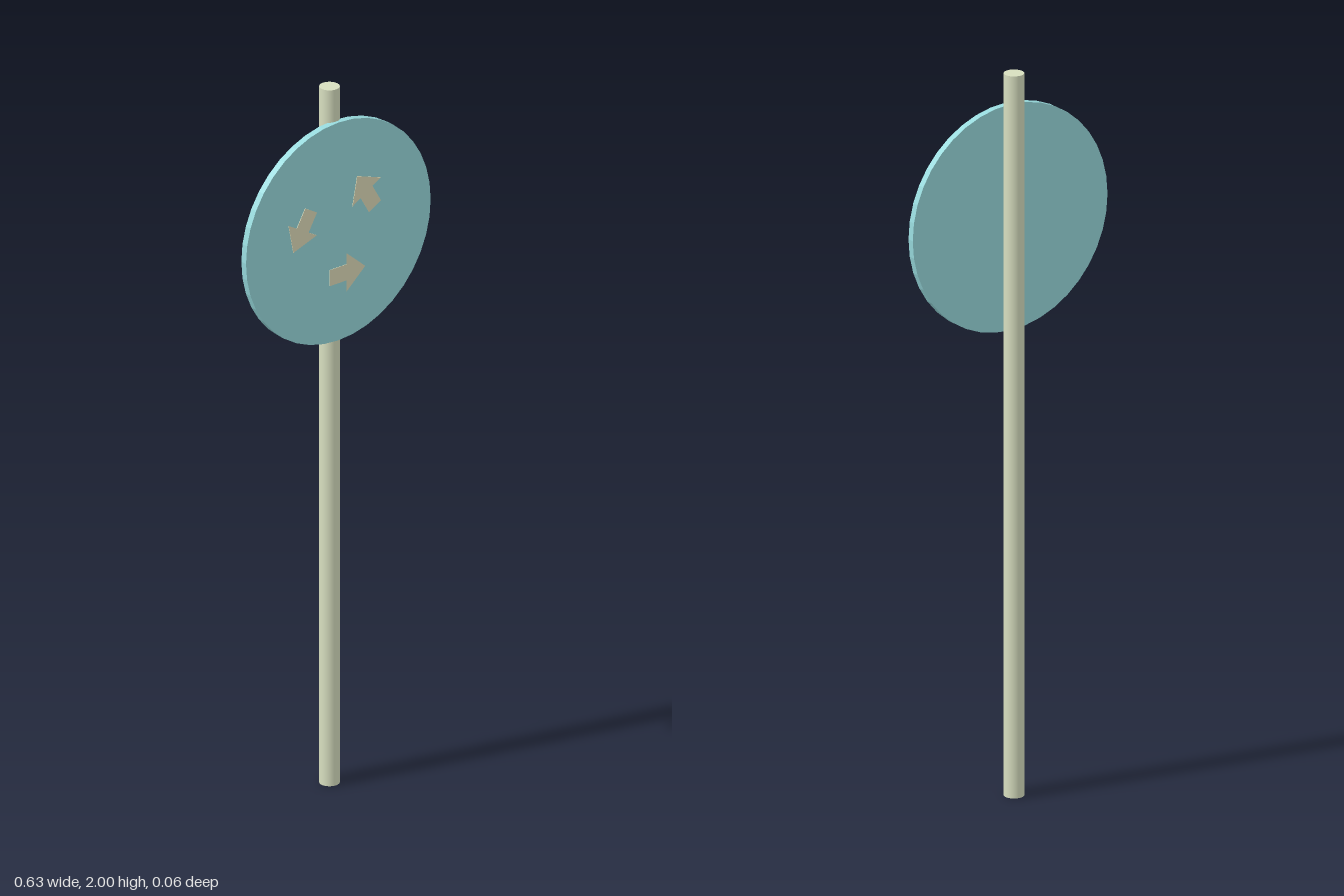
import * as THREE from 'three';

export function createModel() {
  const group = new THREE.Group();
  group.name = 'roundaboutSign';
  const paint = (color, flatShading = false) => new THREE.MeshStandardMaterial({ color, flatShading });
  const add = (name, geometry, material) => {
    const mesh = new THREE.Mesh(geometry, material);
    mesh.name = name;
    group.add(mesh);
    return mesh;
  };

  // Upright pole
  add('pole', new THREE.CylinderGeometry(0.027, 0.027, 2, 32), paint(0xd7debf))
    .position.set(0, 1, -0.006);

  // Round faceted plate, with the pole sunk slightly into its back
  const plate = add('signPlate', new THREE.CylinderGeometry(0.313, 0.313, 0.019, 40), paint(0x98dadd, true));
  plate.rotation.x = Math.PI / 2;
  plate.position.set(0, 1.595, 0.0205);

  // One arrow, drawn below the plate centre and repeated every 120 degrees
  const arrow = new THREE.Shape([
    [-0.03, -0.148], [0.027, -0.148], [0.027, -0.18], [0.09, -0.125],
    [0.027, -0.07], [0.027, -0.102], [-0.03, -0.102],
  ].map(([x, y]) => new THREE.Vector2(x, y)));
  const arrowGeometry = new THREE.ExtrudeGeometry(arrow, { depth: 0.006, bevelEnabled: false });
  const arrowPaint = paint(0xdedcb9);
  for (let i = 0; i < 3; i++) {
    const mesh = add(`arrow${i + 1}`, arrowGeometry, arrowPaint);
    mesh.position.set(0, 1.595, 0.0255);
    mesh.rotation.z = i * Math.PI * 2 / 3;
  }
  return group;
}
